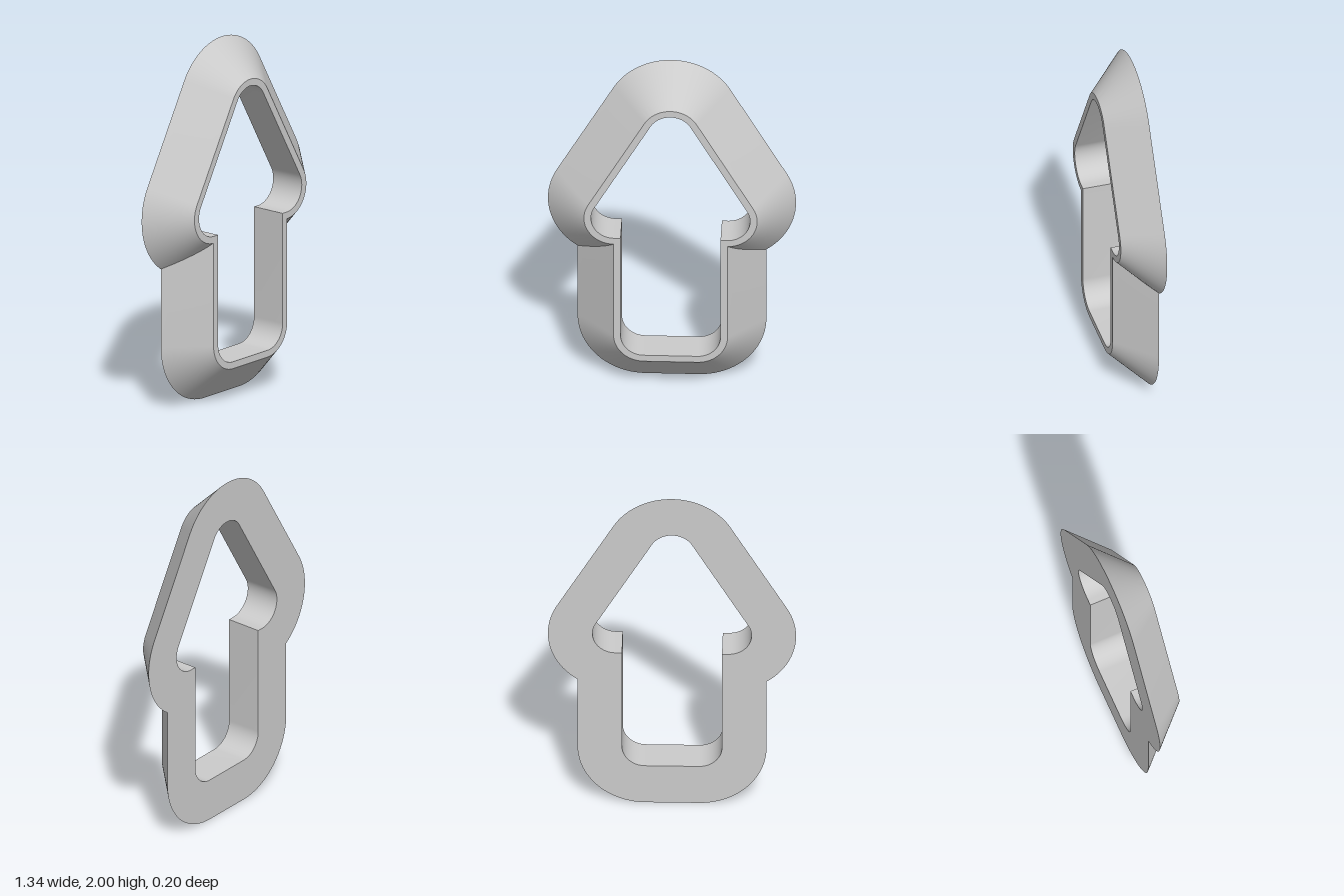
import * as THREE from 'three';
import { toCreasedNormals } from 'three/addons/utils/BufferGeometryUtils.js';

const R = 0.125;              // corner radius of the opening
const FRONT = 0.038;          // width of the flat front rim
const BACK = 0.24;            // width of the flat back
const Z = 0.101;              // half depth
const SHAFT = 0.27;           // half width of the opening's lower part
const SIDE = 0.305;           // x of the arrowhead's corner centres
const TOP_Y = 1.635, BOTTOM_Y = 0.365;
const SIDE_Y = TOP_Y - SIDE * Math.sqrt(3);
const STEPS = 20;

// Arrow outline pushed outward by d, counterclockwise from the bottom
function outline(d) {
  const half = [], r = R + d, x = SHAFT + d;
  const arc = (cx, cy, from, to) => {
    for (let i = 0; i <= STEPS; i++) {
      const a = from + (to - from) * i / STEPS;
      half.push([cx + r * Math.cos(a), cy + r * Math.sin(a)]);
    }
  };
  // the head's corner arc starts where it meets the shaft
  const start = -Math.PI / 2 + Math.asin(Math.max(0, (x - SIDE) / r));
  arc(SHAFT - R, BOTTOM_Y, -Math.PI / 2, 0);
  half.push([x, SIDE_Y + r * Math.sin(start)]);
  arc(SIDE, SIDE_Y, start, Math.PI / 6);
  arc(0, TOP_Y, Math.PI / 6, Math.PI / 2);
  return half.concat(half.map(([px, py]) => [-px, py]).reverse());
}

// Sweep the closed cross-section [offset, z] around the outline
function frameGeometry(section) {
  const rings = section.map(([d, z]) => outline(d).map(([x, y]) => new THREE.Vector3(x, y, z)));
  const positions = [];
  const tri = (...p) => {
    if (new THREE.Triangle(...p).getArea() > 1e-8) p.forEach(v => positions.push(v.x, v.y, v.z));
  };
  rings.forEach((a, i) => {
    const b = rings[(i + 1) % rings.length];
    a.forEach((p, j) => {
      const k = (j + 1) % a.length;
      tri(p, b[j], b[k]);
      tri(p, b[k], a[k]);
    });
  });
  const geometry = new THREE.BufferGeometry();
  geometry.setAttribute('position', new THREE.Float32BufferAttribute(positions, 3));
  return toCreasedNormals(geometry, 0.5);
}

export function createModel() {
  const group = new THREE.Group();
  group.name = 'arrowFrame';

  // inner wall, front rim, then the sloping outer face in steps
  const section = [[0, -Z], [0, Z]];
  const slope = 8;
  for (let i = 0; i <= slope; i++) {
    const t = i / slope;
    section.push([FRONT + (BACK - FRONT) * t, Z - 2 * Z * t]);
  }

  const frame = new THREE.Mesh(
    frameGeometry(section),
    new THREE.MeshStandardMaterial({ color: 0xcccccc })
  );
  frame.name = 'bevelledFrame';
  group.add(frame);
  return group;
}
